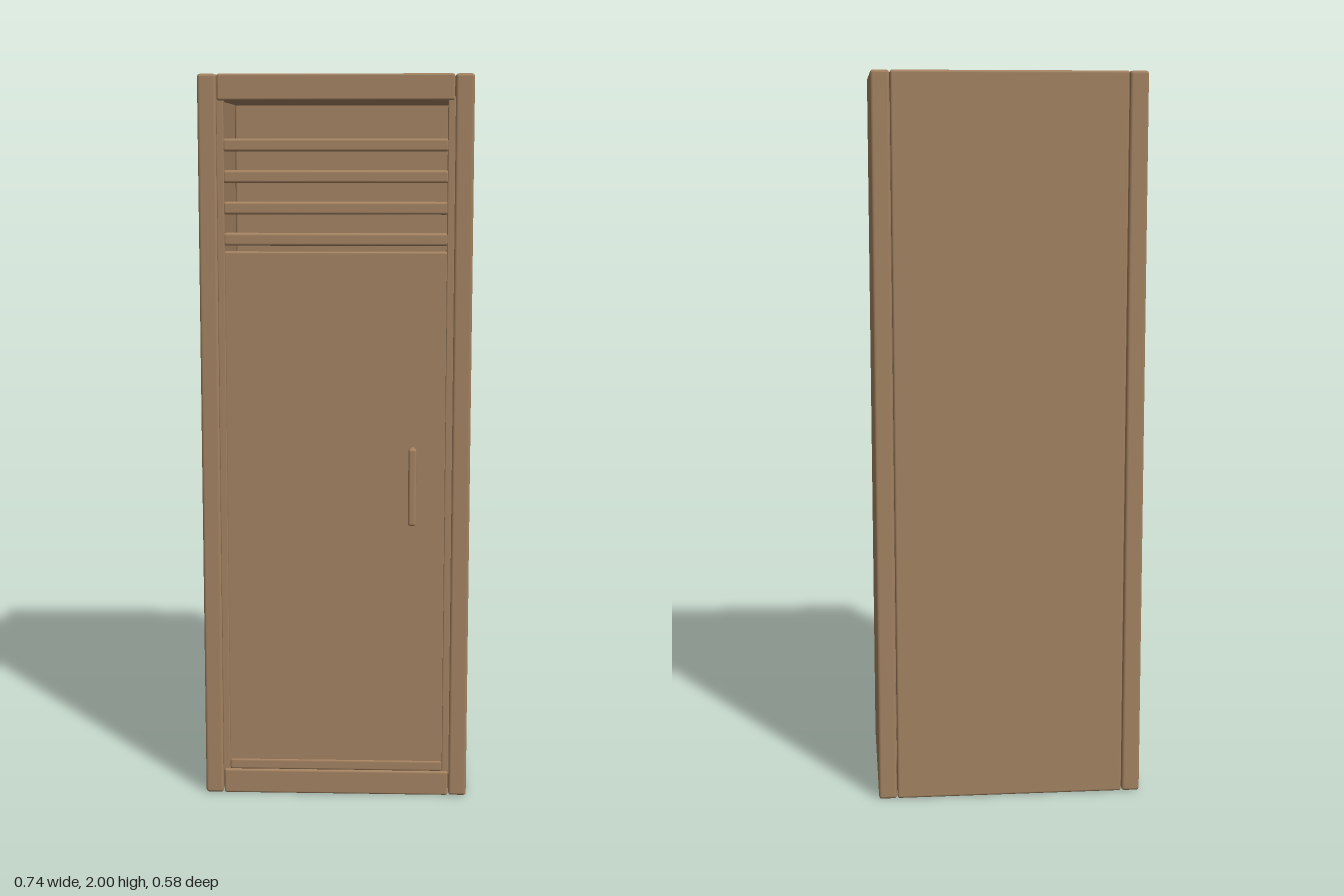
import * as THREE from 'three';
import { RoundedBoxGeometry } from 'three/addons/geometries/RoundedBoxGeometry.js';

export function createModel() {
  const model = new THREE.Group();
  model.name = 'locker';
  const paint = new THREE.MeshStandardMaterial({ color: 0xa38261 });
  paint.name = 'tan paint';

  // Box with softened edges, given by its minimum and maximum corners
  function panel(name, min, max, bevel, parent = model) {
    const size = max.map((v, i) => v - min[i]);
    const mesh = new THREE.Mesh(new RoundedBoxGeometry(...size, 2, bevel), paint);
    mesh.position.set(...max.map((v, i) => (v + min[i]) / 2));
    mesh.name = name;
    parent.add(mesh);
    return mesh;
  }

  const FRONT = 0.255, BACK = -0.29, DOOR_FRONT = 0.247;

  // Carcass: two sides, top, bottom and back around a hollow interior
  panel('leftSide', [0.318, 0, BACK], [0.368, 2, FRONT], 0.008);
  panel('rightSide', [-0.368, 0, BACK], [-0.318, 2, FRONT], 0.008);
  panel('top', [-0.316, 1.93, BACK + 0.002], [0.316, 2, FRONT], 0.006);
  panel('bottom', [-0.316, 0, BACK + 0.002], [0.316, 0.07, FRONT], 0.006);
  panel('back', [-0.316, 0.001, BACK], [0.316, 1.999, -0.24], 0.006);

  // Door frame uprights
  for (const [name, x] of [['leftStile', 0.309], ['rightStile', -0.309]]) {
    panel(name, [x - 0.01, 0.06, 0.215], [x + 0.01, 1.94, DOOR_FRONT + 0.002], 0.003);
  }

  // Door panel with a rail below and vent slats above
  panel('door', [-0.302, 0.09, 0.217], [0.302, 1.53, DOOR_FRONT], 0.005);
  panel('bottomRail', [-0.3, 0.068, 0.217], [0.3, 0.1, 0.25], 0.007);
  const vent = new THREE.Group();
  vent.name = 'vent';
  model.add(vent);
  for (let i = 0; i < 4; i++) {
    const y = 1.546 + i * 0.0835;
    panel('slat', [-0.302, y, 0.219], [0.302, y + 0.034, 0.249], 0.007, vent);
  }

  // Handle: upright grip on two short posts
  const handle = new THREE.Group();
  handle.name = 'handle';
  model.add(handle);
  panel('grip', [0.199, 0.785, 0.269], [0.221, 1.0, 0.287], 0.007, handle);
  for (const y of [0.796, 0.989]) {
    const post = new THREE.Mesh(new THREE.CylinderGeometry(0.01, 0.01, 0.04, 12), paint);
    post.rotation.x = Math.PI / 2;
    post.position.set(0.21, y, 0.258);
    post.name = 'handlePost';
    handle.add(post);
  }

  return model;
}
